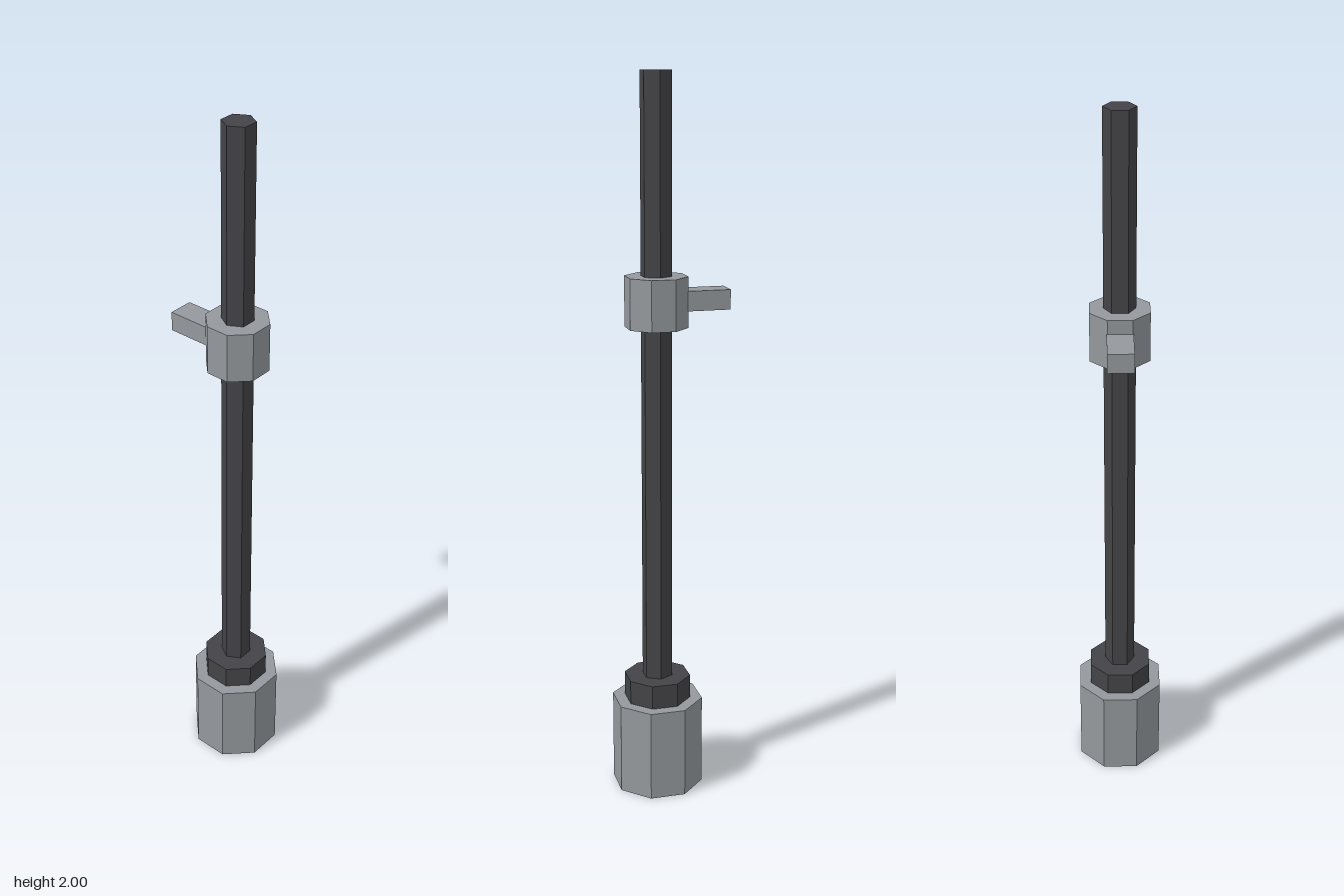
import * as THREE from 'three';

const AXIS_Z = 0.038; // the pole stands slightly in front of centre

export function createModel() {
  const group = new THREE.Group();
  const steel = new THREE.MeshStandardMaterial({ color: 0x94989c, flatShading: true });
  steel.name = 'grey steel';
  const iron = new THREE.MeshStandardMaterial({ color: 0x444448, flatShading: true });
  iron.name = 'dark iron';

  // Upright prism; halfWidth is measured along x
  function prism(name, sides, halfWidth, y0, y1, material) {
    const octagon = sides === 8;
    const radius = octagon ? halfWidth / Math.cos(Math.PI / 8) : halfWidth;
    const geometry = new THREE.CylinderGeometry(radius, radius, y1 - y0, sides);
    geometry.rotateY(octagon ? Math.PI / 8 : Math.PI / 2);
    const mesh = new THREE.Mesh(geometry, material);
    mesh.name = name;
    mesh.position.set(0, (y0 + y1) / 2, AXIS_Z);
    group.add(mesh);
  }

  prism('base', 8, 0.119, 0, 0.26, steel);
  prism('baseCollar', 8, 0.087, 0.26, 0.328, iron);
  prism('pole', 6, 0.043, 0.328, 2, iron);
  prism('sleeve', 8, 0.08, 1.332, 1.47, steel);

  // Lever sticking out of the back of the sleeve
  const lever = new THREE.Mesh(new THREE.BoxGeometry(0.07, 0.054, 0.122), steel);
  lever.name = 'lever';
  lever.position.set(0, 1.404, -0.098);
  group.add(lever);

  return group;
}
